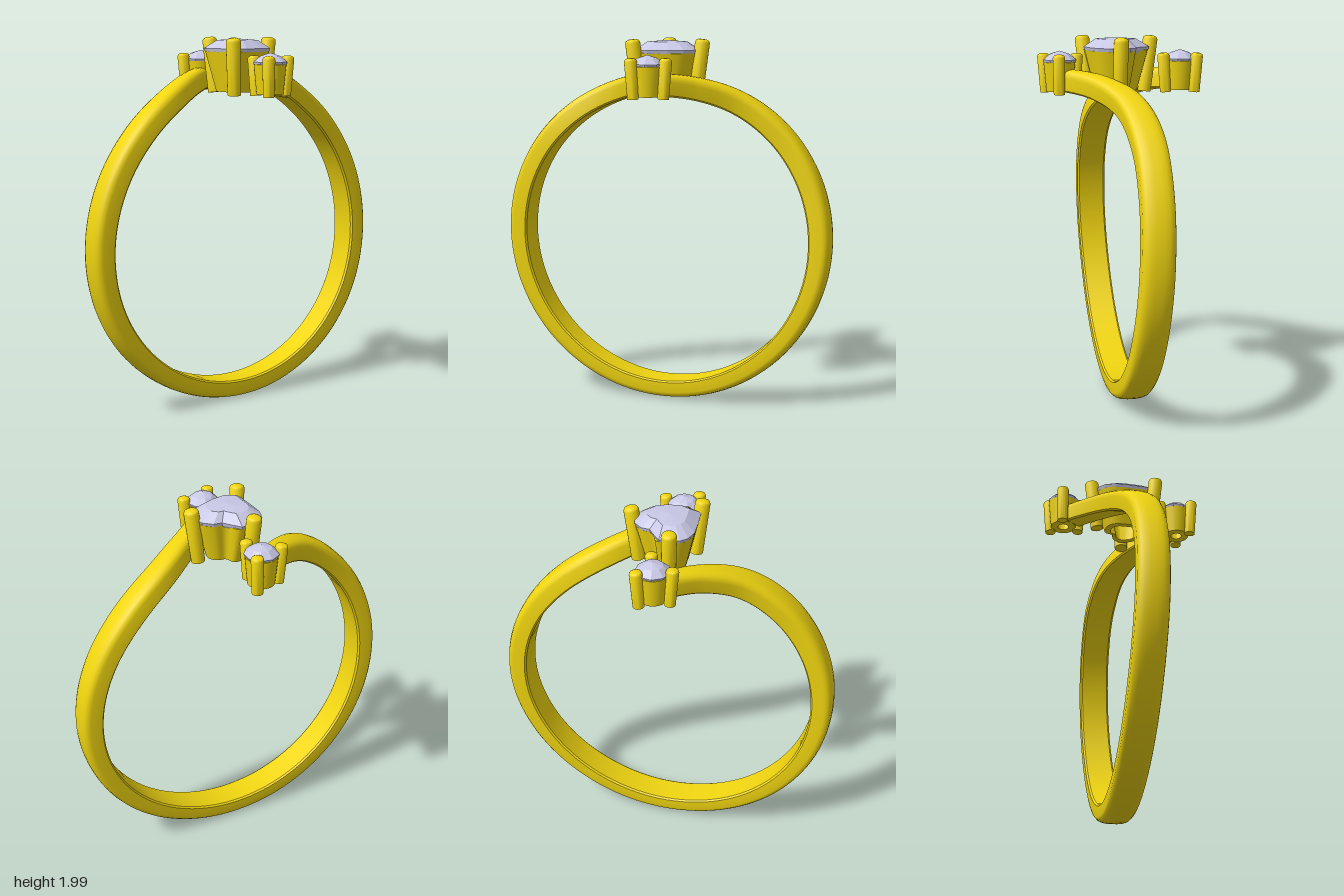
import * as THREE from 'three';
import { toCreasedNormals } from 'three/addons/utils/BufferGeometryUtils.js';

const gold = new THREE.MeshStandardMaterial({ color: 0xf0d510 });
const gem = new THREE.MeshStandardMaterial({ color: 0xc8c8e6, flatShading: true });

// Skin a list of rings (arrays of Vector3 of equal length)
function skin(rings, crease) {
  const n = rings[0].length, index = [];
  for (let j = 0; j < rings.length - 1; j++) {
    for (let i = 0; i < n; i++) {
      const a = j * n + i, b = j * n + (i + 1) % n;
      index.push(a, a + n, b, b, a + n, b + n);
    }
  }
  const geo = new THREE.BufferGeometry().setFromPoints(rings.flat());
  geo.setIndex(index);
  return toCreasedNormals(geo, crease);
}

// Stack scaled copies of an outline: layers are [y, scale]
const stack = (outline, layers, crease) =>
  skin(layers.map(([y, s]) => outline.map(p => new THREE.Vector3(p.x * s, y, p.z * s))), crease);

function add(parent, name, geo, mat) {
  const mesh = new THREE.Mesh(geo, mat);
  mesh.name = name;
  parent.add(mesh);
  return mesh;
}

// Round prong with a softly domed top, running from point a up to point b
function prong(parent, a, b, r) {
  const dir = b.clone().sub(a), h = dir.length();
  const profile = [[0, 0], [r * 0.9, 0], [r, h - r * 0.5], [r * 0.88, h - r * 0.22], [r * 0.55, h - r * 0.04], [0, h]];
  const geo = new THREE.LatheGeometry(profile.map(p => new THREE.Vector2(...p)), 20);
  const mesh = add(parent, 'prong', toCreasedNormals(geo, 0.7), gold);
  mesh.position.copy(a);
  mesh.quaternion.setFromUnitVectors(new THREE.Vector3(0, 1, 0), dir.normalize());
}

const circle = (n, r) => Array.from({ length: n }, (_, i) => {
  const t = i / n * Math.PI * 2;
  return new THREE.Vector3(r * Math.cos(t), 0, r * Math.sin(t));
});

// Band: a ring whose two ends swing to opposite sides at the top
function bandGeometry() {
  const half = [[30, -0.007], [60, -0.02], [90, -0.038], [115, -0.046], [135, -0.034], [152, 0.02], [166, 0.14], [176.5, 0.275]];
  const sway = new THREE.SplineCurve([
    ...half.map(([t, z]) => new THREE.Vector2(-t, -z)).reverse(),
    new THREE.Vector2(0, 0),
    ...half.map(([t, z]) => new THREE.Vector2(t, z)),
  ]);
  const R = 0.857, steps = 160;
  const path = sway.getPoints(steps).map(p => {
    const t = THREE.MathUtils.degToRad(p.x);
    return new THREE.Vector3(R * Math.sin(t), 0.914 - R * Math.cos(t), p.y);
  });
  // Section as [radial, sideways]: domed outside, flat inside
  const right = [[1, 0.25], [0.95, 0.55], [0.82, 0.8], [0.58, 0.95], [0.3, 1], [-0.85, 1], [-1, 0.88]];
  const section = [...right, ...right.map(([n, b]) => [n, -b]).reverse()];
  const rings = path.map((p, i) => {
    const tangent = path[Math.min(i + 1, steps)].clone().sub(path[Math.max(i - 1, 0)]).normalize();
    const out = new THREE.Vector3(p.x, p.y - 0.914, 0).normalize();
    const side = out.clone().cross(tangent).normalize();
    const k = Math.abs(i / steps * 2 - 1);
    const w = 0.083 - 0.03 * THREE.MathUtils.smoothstep(k, 0.6, 1);
    const th = 0.05 + 0.008 * THREE.MathUtils.smoothstep(k, 0, 0.5);
    return section.map(([n, b]) => p.clone().addScaledVector(out, n * th).addScaledVector(side, b * w));
  });
  const cap = p => section.map(() => p.clone());
  return skin([cap(path[0]), ...rings, cap(path[steps])], 0.6);
}

// Heart stone in a tapered open basket with three prongs
function heartSetting() {
  const g = new THREE.Group();
  g.name = 'heartSetting';
  const c = new THREE.Vector3(0.01, 0, 0.03);
  const pts = [[-0.05, -0.15], [0.03, -0.15], [0.07, -0.075], [0.13, -0.065], [0.185, -0.01], [0.18, 0.07],
    [0.14, 0.14], [0.03, 0.18], [-0.115, 0.18], [-0.14, 0.05], [-0.14, -0.07], [-0.105, -0.13]];
  const curve = new THREE.CatmullRomCurve3(pts.map(([x, z]) => new THREE.Vector3(x, 0, z).sub(c)), true);
  const smooth = curve.getPoints(48).slice(0, -1);
  const basket = stack(smooth, [[1.71, 0.64], [1.925, 0.96], [1.93, 0.84], [1.71, 0.46], [1.71, 0.64]], 0.6);
  add(g, 'heartBasket', basket, gold).position.copy(c);
  const stone = stack(curve.getPoints(16).slice(0, -1),
    [[1.76, 0], [1.925, 0.97], [1.942, 1], [1.985, 0.62], [1.993, 0]], 0);
  add(g, 'heartStone', stone, gem).position.copy(c);
  for (const [x, z] of [[-0.045, -0.175], [0.21, 0.03], [-0.13, 0.19]]) {
    const top = new THREE.Vector3(x, 2, z);
    const foot = new THREE.Vector3(c.x + (x - c.x) * 0.82, 1.7, c.z + (z - c.z) * 0.82);
    prong(g, foot, top, 0.04);
  }
  return g;
}

// Small round stone in a collar with three prongs
function sideSetting() {
  const g = new THREE.Group();
  g.name = 'sideSetting';
  const c = new THREE.Vector3(0.005, 0, 0.33);
  const collar = stack(circle(32, 0.085), [[1.71, 0.82], [1.865, 1], [1.87, 0.8], [1.71, 0.36], [1.71, 0.82]], 0.6);
  add(g, 'sideCollar', collar, gold).position.copy(c);
  const stone = stack(circle(9, 0.09), [[1.76, 0], [1.868, 0.97], [1.878, 1], [1.908, 0.6], [1.925, 0]], 0);
  add(g, 'sideStone', stone, gem).position.copy(c);
  for (const [x, z] of [[-0.06, 0.41], [0.11, 0.345], [-0.03, 0.23]]) {
    const top = new THREE.Vector3(x, 1.91, z);
    const foot = new THREE.Vector3(c.x + (x - c.x) * 0.85, 1.7, c.z + (z - c.z) * 0.85);
    prong(g, foot, top, 0.033);
  }
  return g;
}

export function createModel() {
  const model = new THREE.Group();
  model.name = 'ring';
  add(model, 'band', bandGeometry(), gold);
  model.add(heartSetting());

  // Front and back side stones, half a turn apart
  for (const turn of [0, Math.PI]) {
    const side = sideSetting();
    side.rotation.y = turn;
    model.add(side);
  }
  return model;
}
